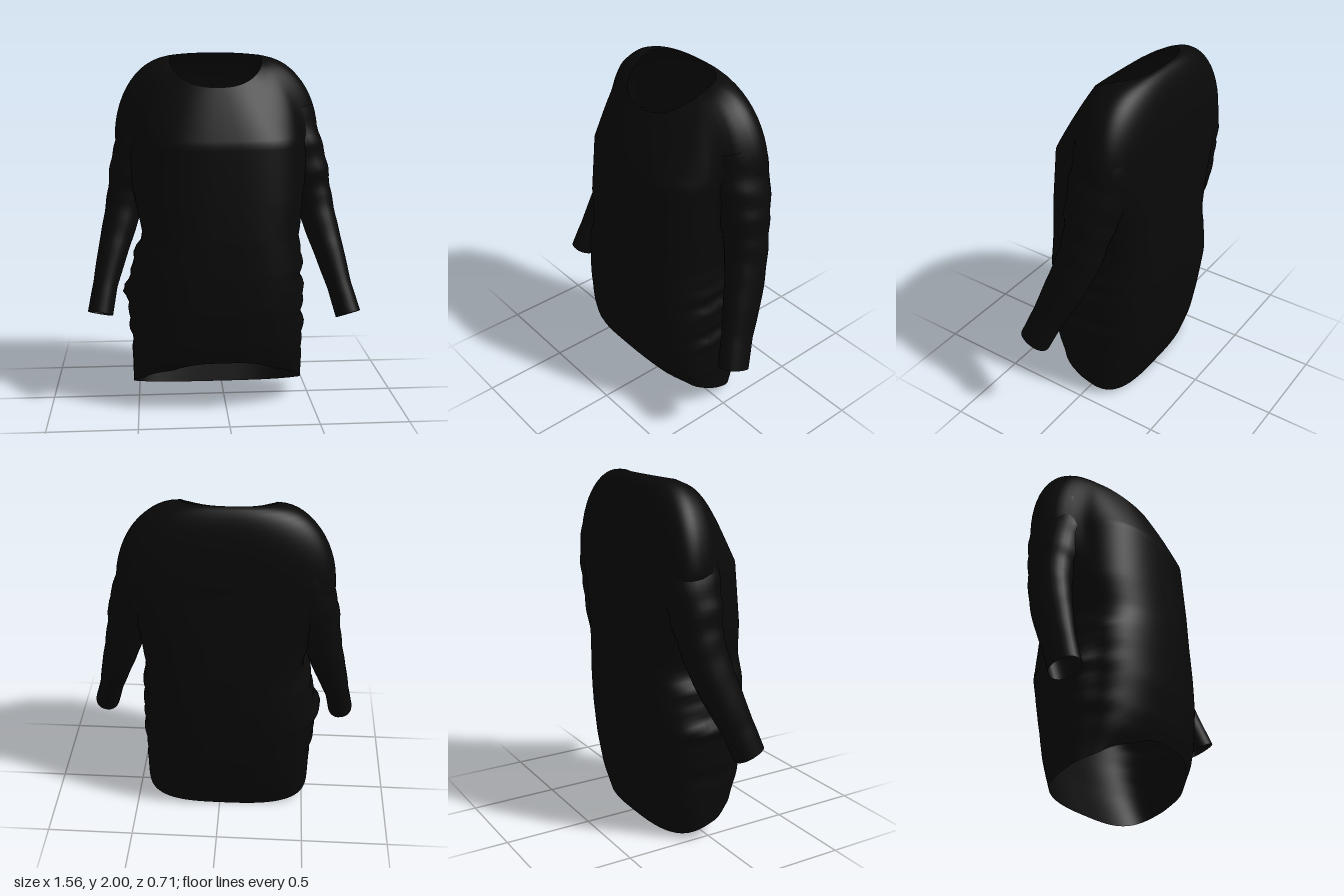
import * as THREE from 'three';

const black = new THREE.MeshStandardMaterial({ color: 0x090909, side: THREE.DoubleSide });
black.name = 'black knit';

// Linear lookup in a short list of [key, value] pairs
function lookup(table, k) {
  if (k <= table[0][0]) return table[0][1];
  for (let i = 1; i < table.length; i++) {
    const [a, va] = table[i - 1], [b, vb] = table[i];
    if (k <= b) return va + (vb - va) * (k - a) / (b - a);
  }
  return table[table.length - 1][1];
}

// Smooth open surface through closed rings of equal length
function loft(rings, name) {
  const n = rings[0].length, pos = [], idx = [];
  rings.forEach(r => r.forEach(p => pos.push(p.x, p.y, p.z)));
  for (let i = 0; i < rings.length - 1; i++) {
    for (let j = 0; j < n; j++) {
      const a = i * n + j, b = i * n + (j + 1) % n;
      idx.push(a, a + n, b, b, a + n, b + n);
    }
  }
  const g = new THREE.BufferGeometry();
  g.setAttribute('position', new THREE.Float32BufferAttribute(pos, 3));
  g.setIndex(idx);
  g.computeVertexNormals();
  const mesh = new THREE.Mesh(g, black);
  mesh.name = name;
  return mesh;
}

// Index list of a mesh without the faces hidden inside the other tubes
function visibleFaces(mesh, others) {
  const ray = new THREE.Raycaster(), pos = mesh.geometry.attributes.position;
  const dirs = [1, -1].map(k => new THREE.Vector3(0.13 * k, 0, k).normalize());
  const p = new THREE.Vector3(), hidden = [];
  for (let i = 0; i < pos.count; i++) {
    p.fromBufferAttribute(pos, i);
    hidden.push(others.some(o => dirs.every(d => {
      ray.set(p, d);
      return ray.intersectObject(o).length % 2 === 1;
    })));
  }
  const src = mesh.geometry.index.array, kept = [];
  for (let i = 0; i < src.length; i += 3) {
    const f = [src[i], src[i + 1], src[i + 2]];
    if (!f.every(v => hidden[v])) kept.push(...f);
  }
  return kept;
}

// Body outline by height: front, back, +x side, -x side, depth of the side seam
const FRONT = [[0, 0.2], [0.2, 0.26], [0.3, 0.315], [0.4, 0.34], [0.6, 0.357], [0.8, 0.353], [1, 0.345], [1.3, 0.322], [1.52, 0.305]];
const BACK = [[0, -0.2], [0.2, -0.27], [0.4, -0.312], [0.6, -0.336], [0.8, -0.35], [1, -0.35], [1.3, -0.337], [1.52, -0.322]];
const LEFT = [[0, 0.44], [0.1, 0.45], [0.7, 0.45], [1, 0.43], [1.2, 0.45], [1.52, 0.555]];
const RIGHT = [[0, 0.52], [0.1, 0.53], [0.4, 0.535], [0.65, 0.57], [0.8, 0.53], [1, 0.465], [1.2, 0.51], [1.52, 0.615]];
const SEAM = [[0, 0.02], [0.8, 0.02], [1.2, -0.06], [1.52, -0.13]];
const HEM = [[-1, 0], [-0.7, 0.03], [0, 0.1], [0.6, 0.17], [0.92, 0.245], [1, 0.3]];
const NECK = [[-0.21, 1.995], [-0.1, 1.975], [0, 1.93], [0.08, 1.88], [0.16, 1.82]];
const YOKE = 1.52, BOXY = 0.67;

const bend = (v, e) => Math.sign(v) * Math.abs(v) ** e;
const { smoothstep, lerp } = THREE.MathUtils;

function bodyPoint(a, y) {
  const c = bend(Math.cos(a), BOXY), s = bend(Math.sin(a), BOXY);
  const seam = lookup(SEAM, y);
  // Small uneven gathers along the side seams
  const fade = smoothstep(y, 0.2, 0.5) * (1 - smoothstep(y, 0.85, 1.1));
  const crease = 0.008 * fade * Math.abs(c) ** 8 * (Math.sin(y * 55 + a) + Math.sin(y * 31));
  const side = lookup(c > 0 ? LEFT : RIGHT, y);
  // The front panel is narrower than the shoulders and hips behind it
  const panel = Math.min(side, c > 0 ? 0.45 : 0.505);
  const half = lerp(side, panel, smoothstep(s, 0.05, 0.5)) + crease;
  const depth = s > 0 ? lookup(FRONT, y) - seam : seam - lookup(BACK, y);
  return new THREE.Vector3(c * half, y, seam + s * depth);
}

function makeBody() {
  const N = 96, rings = [];
  const ring = fn => rings.push(Array.from({ length: N }, (_, j) => fn(j / N * Math.PI * 2)));
  // Sloping hem up to the chest
  for (let i = 0; i <= 44; i++) {
    ring(a => {
      const hem = lookup(HEM, bend(Math.sin(a), BOXY));
      return bodyPoint(a, lerp(hem, YOKE, i / 44));
    });
  }
  // Rounded shoulders closing to the wide neckline, flatter at the chest
  for (let i = 1; i <= 14; i++) {
    const t = i / 14, q = t * Math.PI / 2;
    ring(a => {
      const p = bodyPoint(a, YOKE), s = Math.sin(a);
      const nx = -0.04 + 0.26 * bend(Math.cos(a), 0.85);
      const nz = -0.08 + (s > 0 ? 0.24 : 0.13) * bend(s, 0.88);
      const ny = lookup(NECK, nz);
      const flat = smoothstep(s, 0, 0.9) * 0.9;
      const h = lerp(1 - Math.cos(q), t, flat);
      const v = lerp(Math.sin(q), t, flat);
      return new THREE.Vector3(lerp(p.x, nx, h), lerp(YOKE, ny, v), lerp(p.z, nz, h));
    });
  }
  return loft(rings, 'body');
}

// Sleeve stations: x, y, z, half width, half depth
const SLEEVE = [
  [0.38, 1.68, -0.125, 0.14, 0.155],
  [0.43, 1.48, -0.12, 0.145, 0.165],
  [0.48, 1.32, -0.105, 0.14, 0.145],
  [0.52, 1.2, -0.095, 0.112, 0.125],
  [0.56, 1.05, -0.063, 0.1, 0.12],
  [0.61, 0.88, -0.005, 0.087, 0.113],
  [0.665, 0.68, 0.077, 0.07, 0.094],
  [0.71, 0.52, 0.14, 0.072, 0.09]
];

function makeSleeve(side, spread, lift, name) {
  const last = SLEEVE.length - 1;
  const path = new THREE.CatmullRomCurve3(SLEEVE.map(([x, y, z], i) => {
    const k = 1 - i / last;
    return new THREE.Vector3(side * (x + spread * Math.sqrt(k)), y + lift * (1 - k), z - lift * (1 - k));
  }));
  const steps = 42, N = 28, rings = [];
  for (let i = 0; i <= steps; i++) {
    const u = i / steps, f = u * last, k = Math.min(Math.floor(f), last - 1);
    const [w, d] = [3, 4].map(m => lerp(SLEEVE[k][m], SLEEVE[k + 1][m], f - k));
    const p = path.getPoint(u), t = path.getTangent(u);
    const across = new THREE.Vector3().crossVectors(t, new THREE.Vector3(0, 0, 1)).normalize();
    const depth = new THREE.Vector3().crossVectors(across, t).normalize();
    rings.push(Array.from({ length: N }, (_, j) => {
      const a = -j / N * Math.PI * 2;
      // Soft folds that fade toward the cuff
      const fold = 1 + 0.03 * (1 - u) * Math.sin(u * 42 + 1.5 * Math.sin(a));
      return p.clone().addScaledVector(across, bend(Math.cos(a), 0.9) * w * fold)
        .addScaledVector(depth, bend(Math.sin(a), 0.9) * d * fold);
    }));
  }
  return loft(rings, name);
}

export function createModel() {
  const sweater = new THREE.Group();
  sweater.name = 'sweater';
  const body = makeBody();
  const sleeves = [
    makeSleeve(1, 0, 0, 'leftSleeve'),
    makeSleeve(-1, 0.04, 0.025, 'rightSleeve')
  ];
  // Open the armholes so the sleeves lead into the body
  const bodyFaces = visibleFaces(body, sleeves);
  sleeves.forEach(s => s.geometry.setIndex(visibleFaces(s, [body])));
  body.geometry.setIndex(bodyFaces);
  sweater.add(body, ...sleeves);
  return sweater;
}
